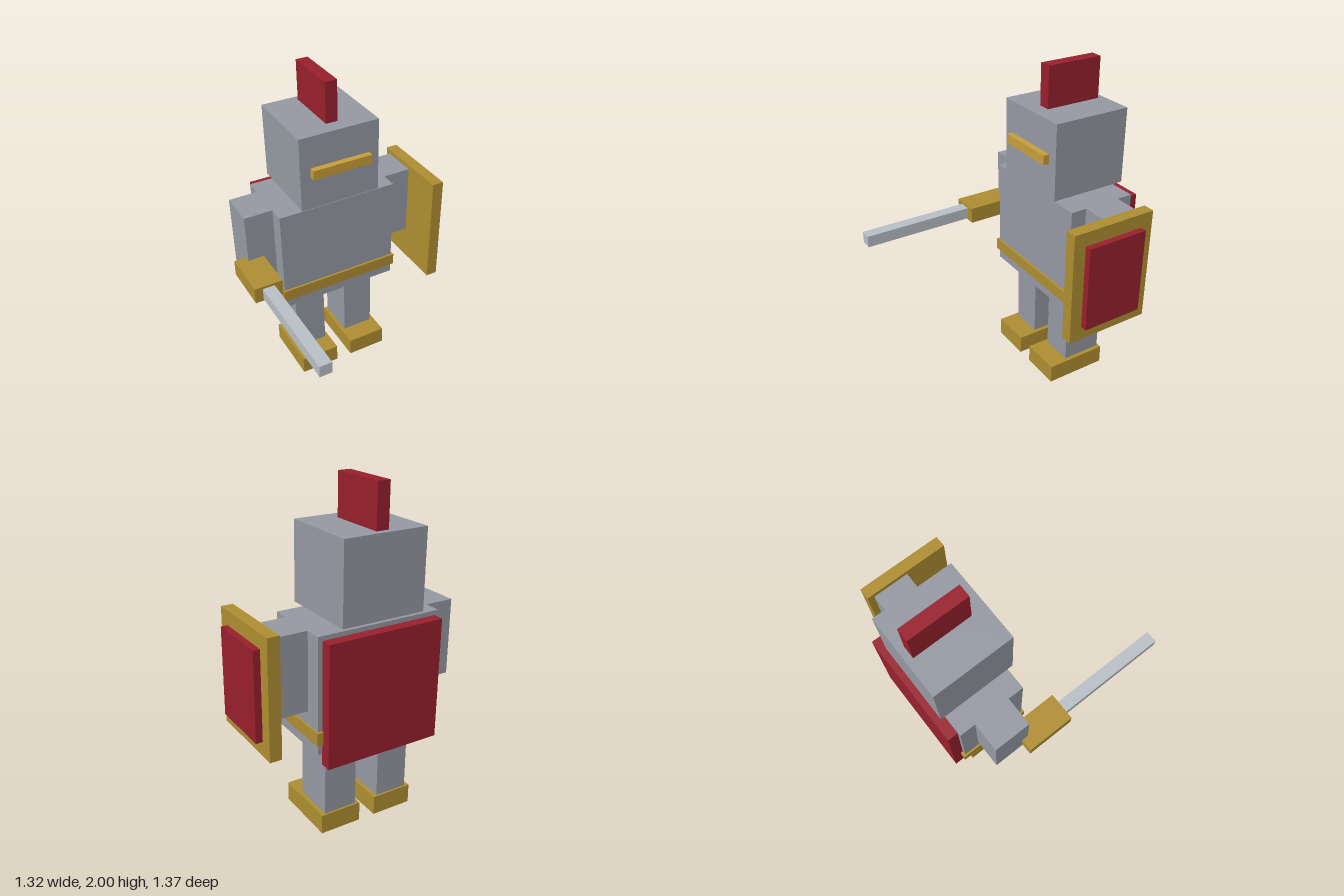
import * as THREE from 'three';

const paint = (name, color) => {
  const m = new THREE.MeshStandardMaterial({ color, side: THREE.DoubleSide });
  m.name = name;
  return m;
};

export function createModel() {
  const steel = paint('armour grey', 0x969aa3);
  const blade = paint('blade steel', 0xbac1c7);
  const gold = paint('dull gold', 0xb08f32);
  const brightGold = paint('bright gold', 0xc89f3a);
  const red = paint('deep red', 0x99202d);

  const knight = new THREE.Group();
  knight.name = 'knight';

  // Box between two corners; hollow ones have no underside
  const block = (name, material, [x0, x1], [y0, y1], [z0, z1], hollow = false) => {
    const g = new THREE.BoxGeometry(x1 - x0, y1 - y0, z1 - z0);
    if (hollow) {
      const index = Array.from(g.index.array);
      index.splice(18, 6); // the -y face
      g.setIndex(index);
      g.clearGroups();
    }
    const mesh = new THREE.Mesh(g, material);
    mesh.name = name;
    mesh.position.set((x0 + x1) / 2, (y0 + y1) / 2, (z0 + z1) / 2);
    knight.add(mesh);
  };

  // Head, visor and crest
  block('head', steel, [-0.275, 0.235], [1.285, 1.75], [-0.65, -0.16], true);
  block('visor', brightGold, [-0.21, 0.172], [1.495, 1.553], [-0.16, -0.122]);
  block('crest', red, [-0.058, 0.018], [1.75, 2], [-0.61, -0.252]);

  // Body, belt and cape
  block('torso', steel, [-0.405, 0.363], [0.58, 1.26], [-0.62, -0.19], true);
  block('belt', gold, [-0.417, 0.375], [0.645, 0.72], [-0.635, -0.175], true);
  block('cape', red, [-0.38, 0.336], [0.517, 1.234], [-0.686, -0.621]);

  // Arms, legs and feet, mirrored about the body's middle line
  const mid = -0.021;
  for (const [side, s] of [['right', -1], ['left', 1]]) {
    const span = (a, b) => [mid + s * a, mid + s * b].sort((p, q) => p - q);
    block(side + 'Arm', steel, span(0.384, 0.563), [0.8, 1.26], [-0.52, -0.29], true);
    block(side + 'Leg', steel, span(0.077, 0.281), [0.002, 0.58], [-0.53, -0.275], true);
    block(side + 'Foot', gold, span(0.052, 0.307), [0, 0.118], [-0.542, -0.146], true);
  }

  // Sword held forward in the right hand
  block('swordHand', gold, [-0.66, -0.484], [0.853, 0.955], [-0.33, -0.023]);
  block('swordBlade', blade, [-0.61, -0.535], [0.865, 0.939], [-0.023, 0.685]);

  // Shield on the left arm
  block('shield', gold, [0.545, 0.617], [0.582, 1.286], [-0.56, -0.02]);
  block('shieldPanel', red, [0.617, 0.657], [0.67, 1.2], [-0.482, -0.097]);

  return knight;
}
